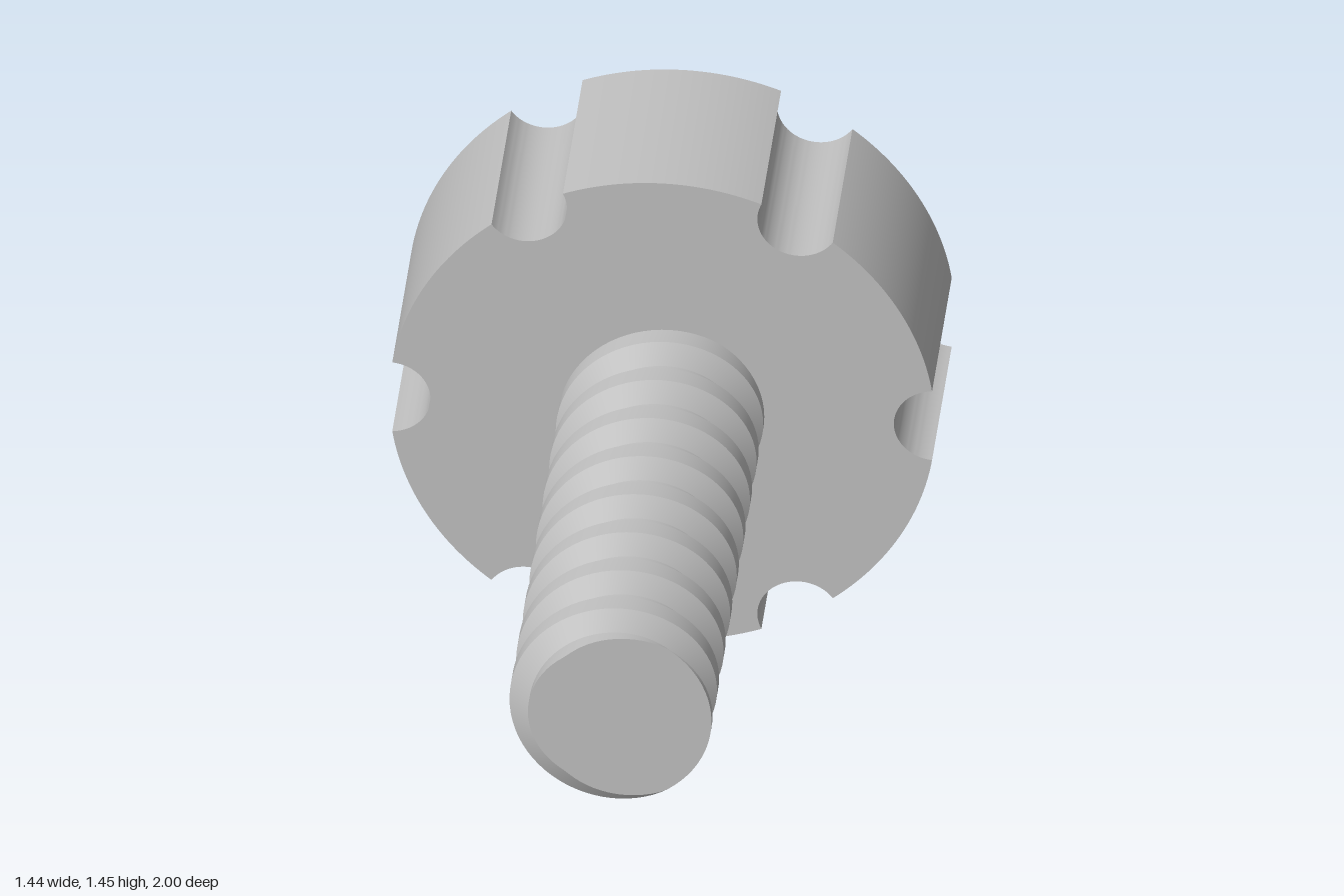
import * as THREE from 'three';
import { toCreasedNormals } from 'three/addons/utils/BufferGeometryUtils.js';

const R = 0.727;          // head radius, also the height of the axis
const NOTCH = 0.11;       // radius of the grip notches
const HEAD_BACK = -1, HEAD_FRONT = -0.457;
const PITCH = 0.182, CREST = 0.272, ROOT = 0.217;
const CREST_HALF = 0.029, FLANK = 0.033;

// Round knob with six scalloped notches centred on its rim
function headGeometry() {
  const shape = new THREE.Shape();
  const half = 2 * Math.asin(NOTCH / 2 / R);
  for (let i = 0; i < 6; i++) {
    const a = (i * Math.PI) / 3, next = a + Math.PI / 3;
    // the notch's end points seen from the notch centre
    const turn = Math.PI / 2 + half / 2;
    shape.absarc(R * Math.cos(a), R * Math.sin(a), NOTCH, a - turn, a + turn, true);
    shape.absarc(0, 0, R, a + half, next - half, false);
  }
  const geo = new THREE.ExtrudeGeometry(shape, {
    depth: HEAD_FRONT - HEAD_BACK, bevelEnabled: false, curveSegments: 20,
  });
  geo.translate(0, 0, HEAD_BACK);
  return toCreasedNormals(geo, 0.5);
}

// Radius of the right-handed thread at a height z and a turn t (0 to 1)
function threadRadius(z, t) {
  const u = (z - 1) / PITCH - t;
  const d = Math.abs(u - Math.round(u)) * PITCH;
  const k = THREE.MathUtils.clamp((d - CREST_HALF) / FLANK, 0, 1);
  return THREE.MathUtils.lerp(CREST, ROOT, k);
}

// Threaded shaft: the profile's corners follow the helix and are cut off flat at both ends
function shaftGeometry() {
  const segments = 72, start = -0.5, end = 1;
  const offsets = [-CREST_HALF - FLANK, -CREST_HALF, CREST_HALF, CREST_HALF + FLANK];
  const positions = [], index = [];
  let rows = 0;
  for (let i = 0; i <= segments; i++) {
    const t = i / segments, angle = t * Math.PI * 2;
    const column = [[0, start]];
    for (let k = -10; k <= 0; k++) {
      for (const o of offsets) {
        const z = THREE.MathUtils.clamp(1 + PITCH * (t + k) + o, start, end);
        column.push([threadRadius(z, t), z]);
      }
    }
    column.push([threadRadius(end, t), end], [0, end]);
    rows = column.length;
    for (const [r, z] of column) positions.push(r * Math.cos(angle), r * Math.sin(angle), z);
  }
  const point = (n) => new THREE.Vector3().fromArray(positions, n * 3);
  const addFace = (a, b, c) => {
    if (new THREE.Triangle(point(a), point(b), point(c)).getArea() > 1e-8) index.push(a, b, c);
  };
  for (let i = 0; i < segments; i++) {
    for (let j = 0; j < rows - 1; j++) {
      const a = i * rows + j, b = a + rows;
      addFace(a, b, b + 1);
      addFace(a, b + 1, a + 1);
    }
  }
  const geo = new THREE.BufferGeometry();
  geo.setAttribute('position', new THREE.Float32BufferAttribute(positions, 3));
  geo.setIndex(index);
  return toCreasedNormals(geo, 0.5);
}

export function createModel() {
  const steel = new THREE.MeshStandardMaterial({ color: 0xbfbfbf });
  steel.name = 'grey steel';
  const group = new THREE.Group();
  group.name = 'thumbScrew';
  const parts = { knobHead: headGeometry(), threadedShaft: shaftGeometry() };
  for (const [name, geometry] of Object.entries(parts)) {
    const mesh = new THREE.Mesh(geometry, steel);
    mesh.name = name;
    mesh.position.y = R;
    group.add(mesh);
  }
  return group;
}
